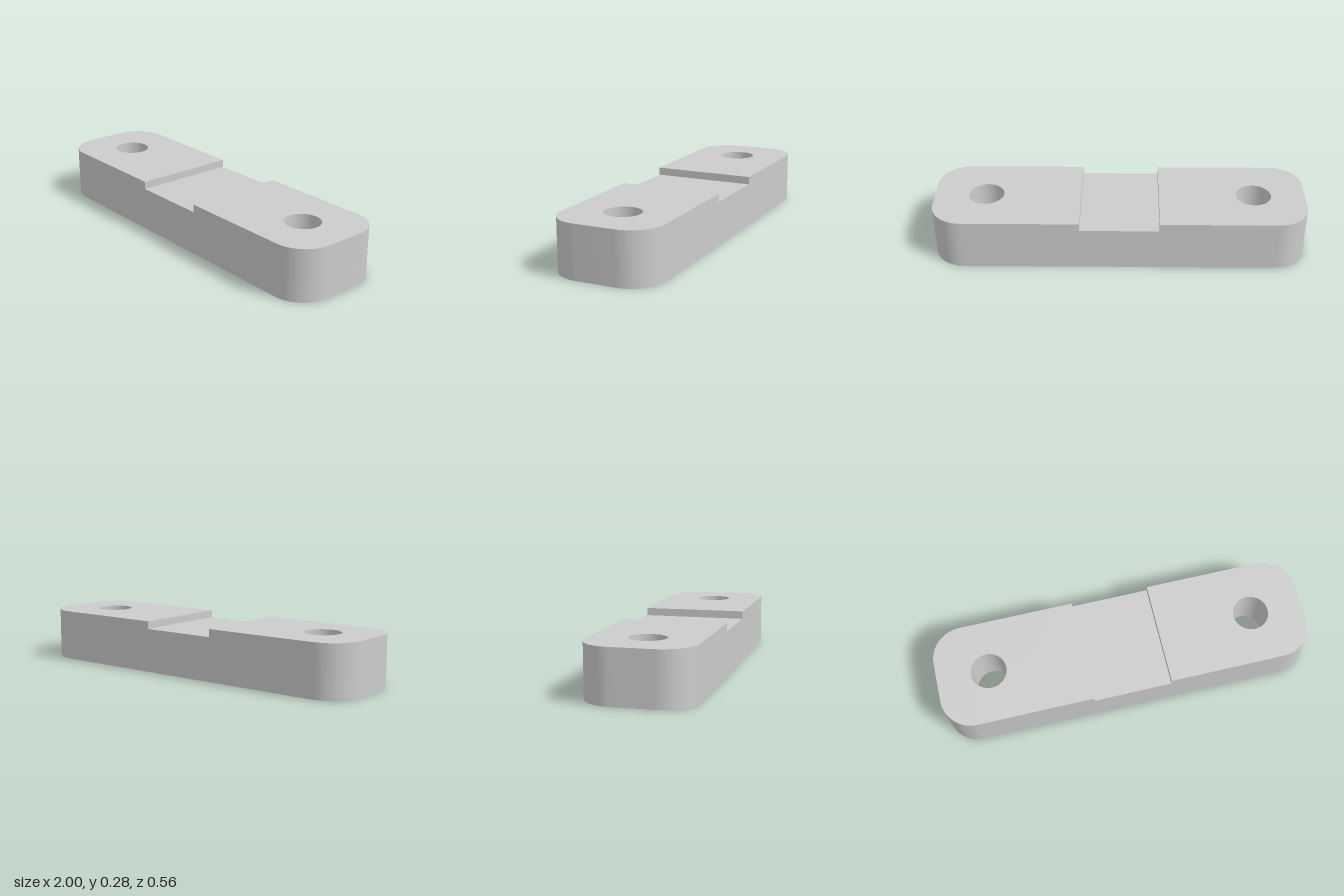
import * as THREE from 'three';
import { mergeGeometries, mergeVertices, toCreasedNormals } from 'three/addons/utils/BufferGeometryUtils.js';

const W = 0.278;      // half width
const H = 0.278;      // full height
const FLOOR = 0.236;  // height of the channel floor
const GAP = 0.21;     // half length of the channel
const R = 0.17;       // corner radius
const HOLE_X = 0.722;
const HOLE_R = 0.095;

// Drop the faces hidden where the ends meet the middle
function removeInnerFaces(geometry) {
  const source = geometry.toNonIndexed();
  const p = source.attributes.position;
  const kept = [];
  for (let i = 0; i < p.count; i += 3) {
    const corners = [i, i + 1, i + 2];
    const inner = [-GAP, GAP].some((x) => corners.every((j) =>
      Math.abs(p.getX(j) - x) < 1e-4 && p.getY(j) < FLOOR + 1e-4));
    if (!inner) corners.forEach((j) => kept.push(p.getX(j), p.getY(j), p.getZ(j)));
  }
  const result = new THREE.BufferGeometry();
  result.setAttribute('position', new THREE.Float32BufferAttribute(kept, 3));
  return result;
}

// Full-height end with two rounded corners and a bolt hole
function endGeometry() {
  const outline = new THREE.Shape();
  outline.moveTo(GAP, -W);
  outline.lineTo(1 - R, -W);
  outline.absarc(1 - R, -W + R, R, -Math.PI / 2, 0, false);
  outline.absarc(1 - R, W - R, R, 0, Math.PI / 2, false);
  outline.lineTo(GAP, W);
  outline.closePath();
  const hole = new THREE.Path();
  hole.absarc(HOLE_X, 0, HOLE_R, 0, Math.PI * 2, true);
  outline.holes.push(hole);

  const geometry = new THREE.ExtrudeGeometry(outline, {
    depth: H, steps: 2, bevelEnabled: false, curveSegments: 24,
  });
  // Move the middle ring to the level of the channel floor
  const p = geometry.attributes.position;
  for (let i = 0; i < p.count; i++) {
    if (Math.abs(p.getZ(i) - H / 2) < 1e-4) p.setZ(i, FLOOR);
  }
  return mergeVertices(geometry).rotateX(-Math.PI / 2);
}

export function createModel() {
  const grey = new THREE.MeshStandardMaterial({ color: 0xcccccc });
  grey.name = 'grey';

  const leftEnd = endGeometry();
  const rightEnd = leftEnd.clone().rotateY(Math.PI);
  const middle = new THREE.BoxGeometry(GAP * 2, FLOOR, W * 2).translate(0, FLOOR / 2, 0);

  const body = mergeGeometries([leftEnd, rightEnd, middle].map(removeInnerFaces));
  const bar = new THREE.Mesh(mergeVertices(toCreasedNormals(body, 0.5)), grey);
  bar.name = 'notchedBar';

  const group = new THREE.Group();
  group.name = 'mountingBar';
  group.add(bar);
  return group;
}
